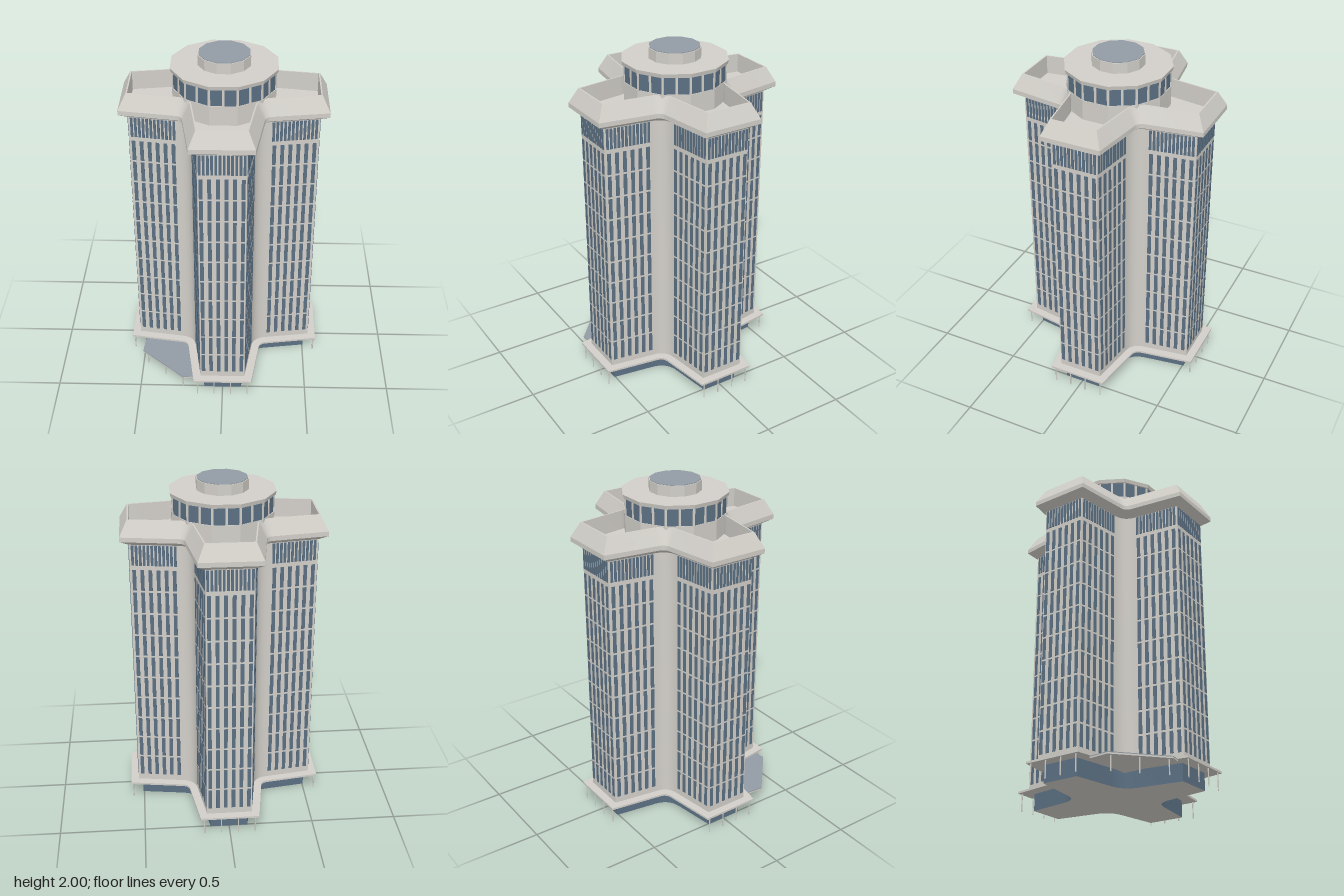
import * as THREE from 'three';
import { mergeGeometries, toCreasedNormals } from 'three/addons/utils/BufferGeometryUtils.js';

const concrete = new THREE.MeshStandardMaterial({ color: 0xd2cfc9 });
concrete.name = 'concrete';
const glass = new THREE.MeshStandardMaterial({ color: 0x5b7083 });
glass.name = 'blue glass';
const paleBlue = new THREE.MeshStandardMaterial({ color: 0x929ca5 });
paleBlue.name = 'pale blue roofing';

const TAPER = 0.15; // how much each wing widens toward the core
const BODY = 0.53;  // reach of the tower walls
const halfWidth = (e) => 0.175 - (0.58 - e) * 0.86;

// Four-winged plan with filleted inner corners; e is the reach of a wing.
function outline(e) {
  const w = halfWidth(e), c = (w + TAPER * e) / (1 + TAPER);
  const d = 0.74 * (0.05 + 0.58 - e);
  const corner = new THREE.Vector2(c, c);
  const u = new THREE.Vector2(e - c, w - c).normalize().multiplyScalar(d);
  const fillet = new THREE.QuadraticBezierCurve(
    corner.clone().add(u), corner, new THREE.Vector2(c + u.y, c + u.x));
  const quarter = [new THREE.Vector2(e, -w), new THREE.Vector2(e, w), ...fillet.getPoints(7)];
  const pts = [];
  for (let k = 0; k < 4; k++) {
    for (const p of quarter) {
      let [x, z] = [p.x, p.y];
      for (let j = 0; j < k; j++) [x, z] = [-z, x];
      pts.push(new THREE.Vector2(x, z));
    }
  }
  return pts;
}

// Walls through a list of [reach, height] rings.
function bands(rings) {
  const pos = [];
  for (let r = 0; r + 1 < rings.length; r++) {
    const lo = outline(rings[r][0]), hi = outline(rings[r + 1][0]);
    const yl = rings[r][1], yh = rings[r + 1][1];
    for (let i = 0; i < lo.length; i++) {
      const j = (i + 1) % lo.length;
      const a = [lo[i].x, yl, lo[i].y], b = [hi[i].x, yh, hi[i].y];
      const c = [hi[j].x, yh, hi[j].y], f = [lo[j].x, yl, lo[j].y];
      pos.push(...a, ...b, ...c, ...a, ...c, ...f);
    }
  }
  const g = new THREE.BufferGeometry();
  g.setAttribute('position', new THREE.Float32BufferAttribute(pos, 3));
  return toCreasedNormals(g, 0.35);
}

// Flat plan-shaped cap facing up or down.
function cap(e, y, up) {
  const s = up ? -1 : 1;
  const shape = new THREE.Shape(outline(e).map((p) => new THREE.Vector2(p.x, s * p.y)));
  return new THREE.ShapeGeometry(shape).rotateX(s * Math.PI / 2).translate(0, y, 0);
}

// Twelve-sided drum with flats on the axes; radii are measured to the flats.
function drum(top, bottom, y0, y1) {
  const k = 1 / Math.cos(Math.PI / 12);
  const g = new THREE.CylinderGeometry(top * k, bottom * k, y1 - y0, 12);
  return toCreasedNormals(g.rotateY(Math.PI / 12).translate(0, (y0 + y1) / 2, 0), 0.3);
}

export function createModel() {
  const model = new THREE.Group();
  model.name = 'tower';
  const add = (name, geometry, material) => {
    const m = new THREE.Mesh(geometry, material);
    m.name = name;
    model.add(m);
  };

  // Ground floor and canopy
  add('groundFloorGlass', bands([[0.505, 0], [0.505, 0.1]]), glass);
  add('groundSlab', cap(0.505, 0, false), concrete);
  add('canopyEdge', bands([[0.577, 0.1], [0.577, 0.112]]), concrete);
  add('canopyTop', cap(0.577, 0.112, true), concrete);
  add('canopyUnderside', cap(0.577, 0.1, false), concrete);

  // Tower walls and flared parapet
  add('towerWalls', bands([[BODY, 0.11], [BODY, 1.67]]), concrete);
  add('parapet', bands([[0.525, 1.66], [0.58, 1.695], [0.58, 1.722], [0.535, 1.81],
    [0.527, 1.81], [0.527, 1.7]]), concrete);
  add('roofDeck', cap(0.527, 1.7, true), concrete);

  // Window panes for one facade, centred on x = 0 and facing +z
  const panes = [];
  const pane = (x, y, w, h) => panes.push(new THREE.BoxGeometry(w, h, 0.006).translate(x, y, 0));
  for (let i = 0; i < 6; i++) {
    for (let row = 0; row < 10; row++) pane((i - 2.5) * 0.0455, 0.214 + row * 0.1375, 0.021, 0.125);
  }
  for (let i = 0; i < 12; i++) pane((i - 5.5) * 0.0218, 1.6, 0.0145, 0.12);
  const facade = mergeGeometries(panes);

  // The facade repeats on the end and both sides of every wing
  const w = halfWidth(BODY), inset = 0.137, turn = Math.atan2(1, TAPER);
  const sideX = w + TAPER * inset, sideZ = BODY - inset;
  const wing = mergeGeometries([
    facade.clone().translate(0, 0, BODY),
    facade.clone().rotateY(turn).translate(sideX, 0, sideZ),
    facade.clone().rotateY(-turn).translate(-sideX, 0, sideZ),
  ]);
  const post = (x, z, h) => new THREE.CylinderGeometry(0.004, 0.004, h, 6).translate(x, h / 2, z);
  const posts = mergeGeometries([-0.15, -0.05, 0.05, 0.15].map((x) => post(x, 0.565, 0.1)));
  for (let k = 0; k < 4; k++) {
    add('wingWindows', wing.clone().rotateY(k * Math.PI / 2), glass);
    add('canopyPosts', posts.clone().rotateY(k * Math.PI / 2), concrete);
  }

  // Entrance porch in one inner corner
  const porch = new THREE.Shape([[-0.5, 0.3], [-0.24, 0.53], [-0.18, 0.52], [-0.18, 0.18], [-0.49, 0.18]]
    .map(([x, z]) => new THREE.Vector2(x, -z)));
  const slab = (y, depth) => new THREE.ExtrudeGeometry(porch, { depth, bevelEnabled: false })
    .rotateX(-Math.PI / 2).translate(0, y, 0);
  add('porchSlab', slab(0.086, 0.008), concrete);
  add('porchRoofing', slab(0.094, 0.005), paleBlue);
  add('porchPosts', mergeGeometries([[-0.47, 0.3], [-0.355, 0.4], [-0.24, 0.505]]
    .map(([x, z]) => post(x, z, 0.086))), concrete);

  // Rooftop drum: plinth, glazing with mullions, cap
  add('drumPlinth', drum(0.285, 0.285, 1.7, 1.815), concrete);
  add('drumGlazing', drum(0.281, 0.281, 1.815, 1.912), glass);
  const mullions = [];
  for (let i = 0; i < 24; i++) {
    const r = i % 2 ? 0.281 / Math.cos(Math.PI / 12) - 0.002 : 0.281;
    mullions.push(new THREE.BoxGeometry(0.013, 0.097, 0.008)
      .translate(0, 1.8635, r).rotateY(i * Math.PI / 12));
  }
  add('drumMullions', mergeGeometries(mullions), concrete);
  add('drumCap', drum(0.295, 0.29, 1.912, 1.935), concrete);

  // Penthouse
  add('penthouse', drum(0.145, 0.145, 1.935, 1.996), concrete);
  add('penthouseRoofing', drum(0.14, 0.14, 1.995, 2), paleBlue);
  return model;
}
